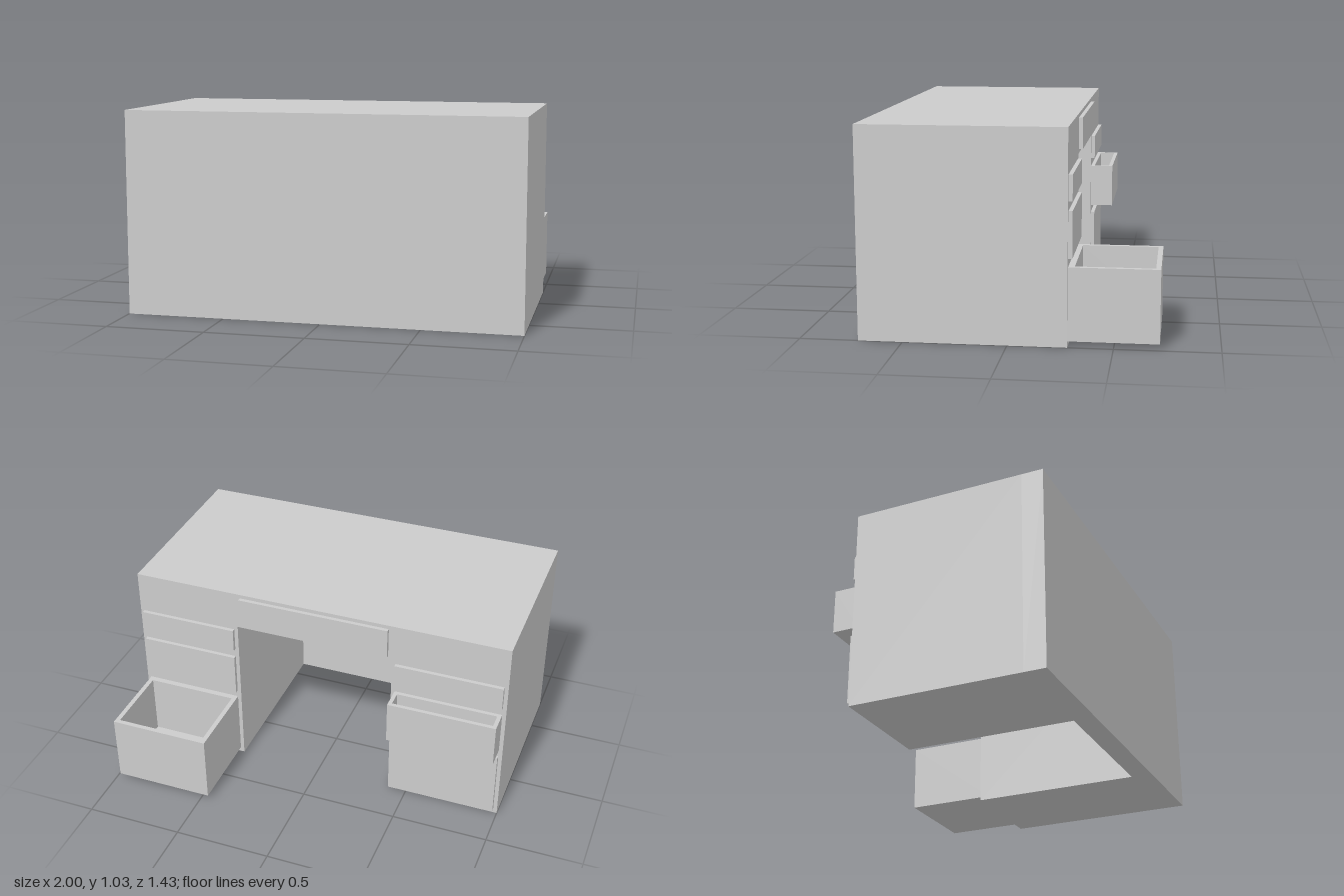
import * as THREE from 'three';

const BACK = -0.285, FRONT = 0.715, PANEL = 0.605, HEIGHT = 1.035;
const material = new THREE.MeshStandardMaterial({ color: 0xcccccc, flatShading: true });

function addMesh(parent, name, geometry) {
  const mesh = new THREE.Mesh(geometry, material);
  mesh.name = name;
  parent.add(mesh);
  return mesh;
}

// Box given by its two extreme corners
function addBox(parent, name, [x0, y0, z0], [x1, y1, z1]) {
  const mesh = addMesh(parent, name, new THREE.BoxGeometry(x1 - x0, y1 - y0, z1 - z0));
  mesh.position.set((x0 + x1) / 2, (y0 + y1) / 2, (z0 + z1) / 2);
  return mesh;
}

function rectangle(x0, y0, x1, y1, Type) {
  const r = new Type();
  r.moveTo(x0, y0).lineTo(x1, y0).lineTo(x1, y1).lineTo(x0, y1).closePath();
  return r;
}

// Pulled-out drawer: hollow walls over a floor, from z0 to the carcass
function addOpenDrawer(parent, name, x0, x1, y0, y1, z0, wall, backWall) {
  const drawer = new THREE.Group();
  drawer.name = name;
  const floor = 0.03;
  const rim = rectangle(x0, -BACK, x1, -z0, THREE.Shape);
  rim.holes.push(rectangle(x0 + wall, -BACK + backWall, x1 - wall, -z0 - wall, THREE.Path));
  const walls = new THREE.ExtrudeGeometry(rim, { depth: y1 - y0 - floor, bevelEnabled: false });
  walls.rotateX(-Math.PI / 2);
  addMesh(drawer, 'drawerWalls', walls).position.y = y0 + floor;
  addBox(drawer, 'drawerFloor', [x0, y0, z0], [x1, y0 + floor, BACK]);
  parent.add(drawer);
}

export function createModel() {
  const desk = new THREE.Group();
  desk.name = 'desk';

  // Two pedestals joined by the top, around the kneehole
  const outline = new THREE.Shape();
  [[-1, 0], [-0.4, 0], [-0.4, 0.835], [0.44, 0.835], [0.44, 0], [1, 0], [1, HEIGHT], [-1, HEIGHT]]
    .forEach(([x, y], i) => (i ? outline.lineTo(x, y) : outline.moveTo(x, y)));
  outline.closePath();
  const carcass = new THREE.ExtrudeGeometry(outline, { depth: PANEL - BACK, bevelEnabled: false });
  addMesh(desk, 'carcass', carcass).position.z = BACK;

  // Modesty panel closing the kneehole
  addBox(desk, 'modestyPanel', [-1, 0, PANEL], [1, HEIGHT, FRONT]);

  // Closed drawer fronts: x0, x1, y0, y1
  const fronts = [
    ['centreDrawerFront', -0.38, 0.42, 0.855, 1.015],
    ['rightTopDrawerFront', -0.98, -0.42, 0.69, 0.815],
    ['rightBottomDrawerFront', -0.98, -0.42, 0.025, 0.38],
    ['leftTopDrawerFront', 0.46, 0.98, 0.69, 0.815],
    ['leftMiddleDrawerFront', 0.46, 0.98, 0.42, 0.645],
  ];
  for (const [name, x0, x1, y0, y1] of fronts) {
    addBox(desk, name, [x0, y0, BACK - 0.02], [x1, y1, BACK]);
  }

  // Drawers standing open
  addOpenDrawer(desk, 'rightMiddleDrawer', -0.98, -0.42, 0.42, 0.645, -0.405, 0.02, 0.02);
  addOpenDrawer(desk, 'leftBottomDrawer', 0.46, 0.98, 0.025, 0.38, -0.715, 0.024, 0.03);

  return desk;
}
